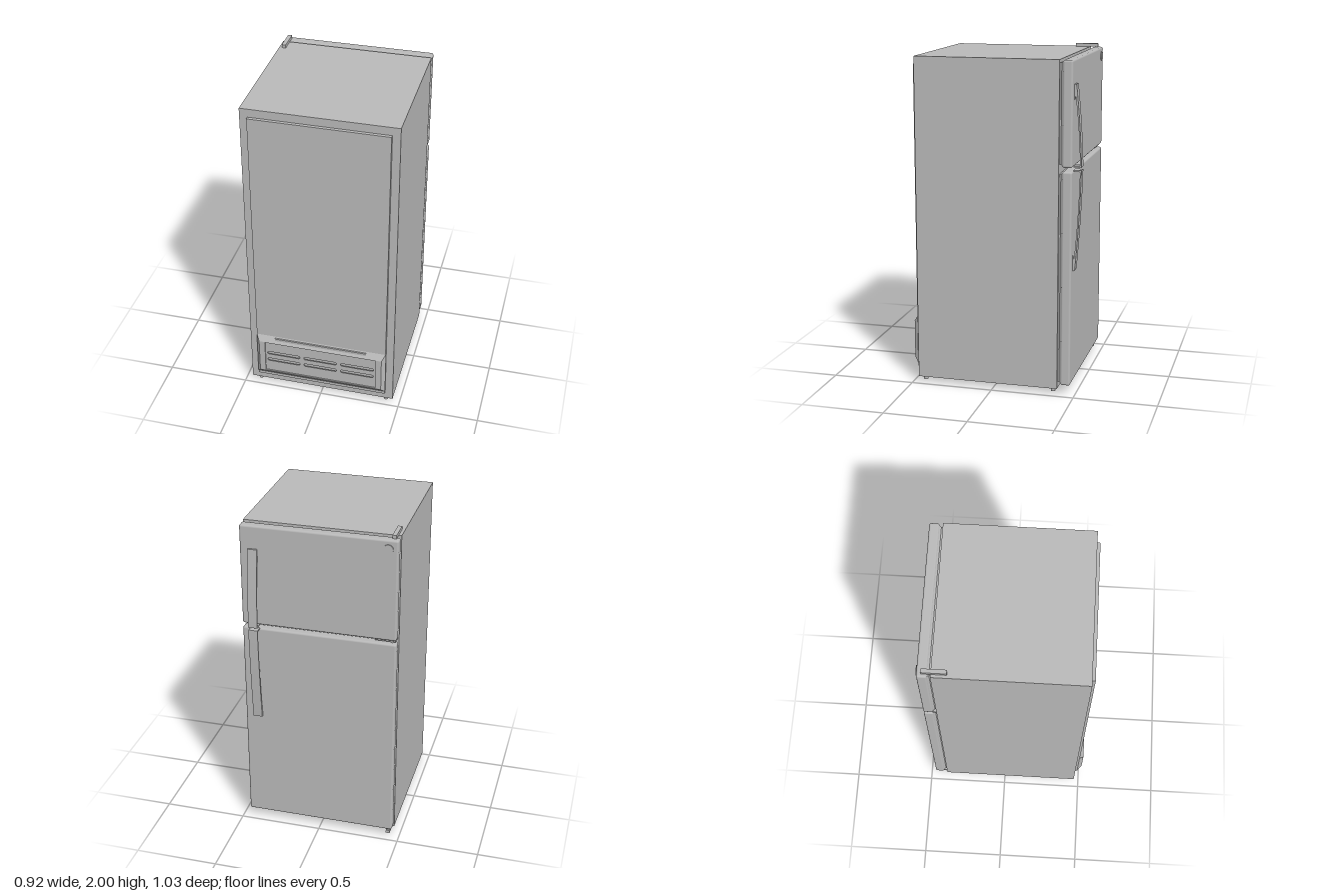
import * as THREE from 'three';
import { RoundedBoxGeometry } from 'three/addons/geometries/RoundedBoxGeometry.js';

const steel = new THREE.MeshStandardMaterial({ color: 0xb8b8b8 });
steel.name = 'grey steel';

export function createModel() {
  const root = new THREE.Group();
  root.name = 'refrigerator';

  const add = (name, geo, parent = root) => {
    const m = new THREE.Mesh(geo, steel);
    m.name = name;
    parent.add(m);
    return m;
  };
  // box given by its limits on each axis
  const box = (name, x0, x1, y0, y1, z0, z1, r = 0) => {
    const s = [x1 - x0, y1 - y0, z1 - z0];
    const g = r ? new RoundedBoxGeometry(...s, 4, r) : new THREE.BoxGeometry(...s);
    return add(name, g.translate((x0 + x1) / 2, (y0 + y1) / 2, (z0 + z1) / 2));
  };
  const cylinder = (name, r, y0, y1, x, z) =>
    add(name, new THREE.CylinderGeometry(r, r, y1 - y0, 20).translate(x, (y0 + y1) / 2, z));

  // flat-sided skin through rectangles [half width, y0, y1, z], outward for rising z
  const loftRects = (rings) => {
    const pos = [];
    const corners = ([w, y0, y1, z]) => [[-w, y0, z], [w, y0, z], [w, y1, z], [-w, y1, z]];
    for (let i = 0; i < rings.length - 1; i++) {
      const a = corners(rings[i]), b = corners(rings[i + 1]);
      for (let k = 0; k < 4; k++) {
        const n = (k + 1) % 4;
        pos.push(...a[k], ...a[n], ...b[n], ...a[k], ...b[n], ...b[k]);
      }
    }
    const g = new THREE.BufferGeometry();
    g.setAttribute('position', new THREE.Float32BufferAttribute(pos, 3));
    g.computeVertexNormals();
    return g;
  };

  // cabinet and raised rear panel
  box('cabinet', -0.4575, 0.4575, 0.03, 1.98, -0.393, 0.47);
  box('rearPanel', -0.41, 0.41, 0.08, 1.93, 0.465, 0.49);

  // sloped compressor cover with a recessed grille
  add('compressorCover', loftRects([
    [0.412, 0.097, 0.4, 0.488], [0.39, 0.13, 0.36, 0.515],
    [0.353, 0.135, 0.357, 0.515], [0.353, 0.135, 0.357, 0.505],
  ]));
  const plate = new THREE.Shape();
  plate.moveTo(-0.353, 0.135).lineTo(0.353, 0.135).lineTo(0.353, 0.357).lineTo(-0.353, 0.357).closePath();
  for (const y of [0.22, 0.273]) {
    for (const x of [-0.235, 0, 0.235]) {
      const slot = new THREE.Path(), h = 0.095, r = 0.01;
      slot.moveTo(x - h, y - r).lineTo(x + h, y - r);
      slot.absarc(x + h, y, r, -Math.PI / 2, Math.PI / 2);
      slot.lineTo(x - h, y + r);
      slot.absarc(x - h, y, r, Math.PI / 2, Math.PI * 1.5);
      plate.holes.push(slot);
    }
  }
  add('ventGrille', new THREE.ExtrudeGeometry(plate, { depth: 0.006, bevelEnabled: false, curveSegments: 8 })
    .translate(0, 0, 0.501));
  box('coverLedge', -0.29, 0.29, 0.375, 0.39, 0.49, 0.505);

  // two doors, each with a tapered inner liner and a gasket
  const doors = [['freezer', 1.365, 1.978], ['fridge', 0.055, 1.342]];
  for (const [name, y0, y1] of doors) {
    box(name + 'Door', -0.4575, 0.4575, y0, y1, -0.47, -0.412, 0.012);
    // rings run from the door toward the cabinet
    add(name + 'Liner', loftRects([
      [0.452, y0 + 0.005, y1 - 0.005, -0.416], [0.44, y0 + 0.017, y1 - 0.017, -0.402],
    ]));
    box(name + 'Gasket', -0.44, 0.44, y0 + 0.017, y1 - 0.017, -0.404, -0.39);
  }

  // bowed strap handles, meeting where the doors meet
  const handle = (name, yMid, yEnd) => {
    const d = Math.sign(yEnd - yMid), s = new THREE.Shape();
    const yBow = yMid + (yEnd - yMid) * 0.5;
    s.moveTo(-0.468, yEnd).lineTo(-0.482, yEnd);
    s.quadraticCurveTo(-0.508, yBow, -0.515, yMid + d * 0.01);
    s.lineTo(-0.515, yMid).lineTo(-0.468, yMid).lineTo(-0.468, yMid + d * 0.008);
    s.lineTo(-0.507, yMid + d * 0.01);
    s.quadraticCurveTo(-0.5, yBow, -0.477, yEnd - d * 0.07);
    s.lineTo(-0.468, yEnd - d * 0.1);
    s.closePath();
    add(name, new THREE.ExtrudeGeometry(s, { depth: 0.055, bevelEnabled: false, curveSegments: 16 })
      .rotateY(-Math.PI / 2).translate(0.408, 0, 0));
  };
  handle('freezerHandle', 1.362, 1.84);
  handle('fridgeHandle', 1.346, 0.75);

  // plain round badge
  add('badge', new THREE.CylinderGeometry(0.028, 0.028, 0.01, 32)
    .rotateX(Math.PI / 2).translate(-0.402, 1.925, -0.471));

  // hinges on the right edge
  box('topHinge', -0.44, -0.416, 1.98, 2, -0.445, -0.305);
  cylinder('topHingePin', 0.009, 1.965, 1.99, -0.428, -0.432);
  box('middleHinge', -0.45, -0.33, 1.349, 1.357, -0.448, -0.39);
  cylinder('middleHingePin', 0.009, 1.33, 1.375, -0.428, -0.435);
  box('bottomHinge', -0.44, -0.416, 0.01, 0.03, -0.445, -0.305);
  cylinder('bottomHingePin', 0.009, 0.01, 0.065, -0.428, -0.432);

  // feet
  for (const x of [-0.41, 0.41]) {
    for (const z of [-0.36, 0.44]) cylinder('foot', 0.013, 0, 0.032, x, z);
  }
  return root;
}
